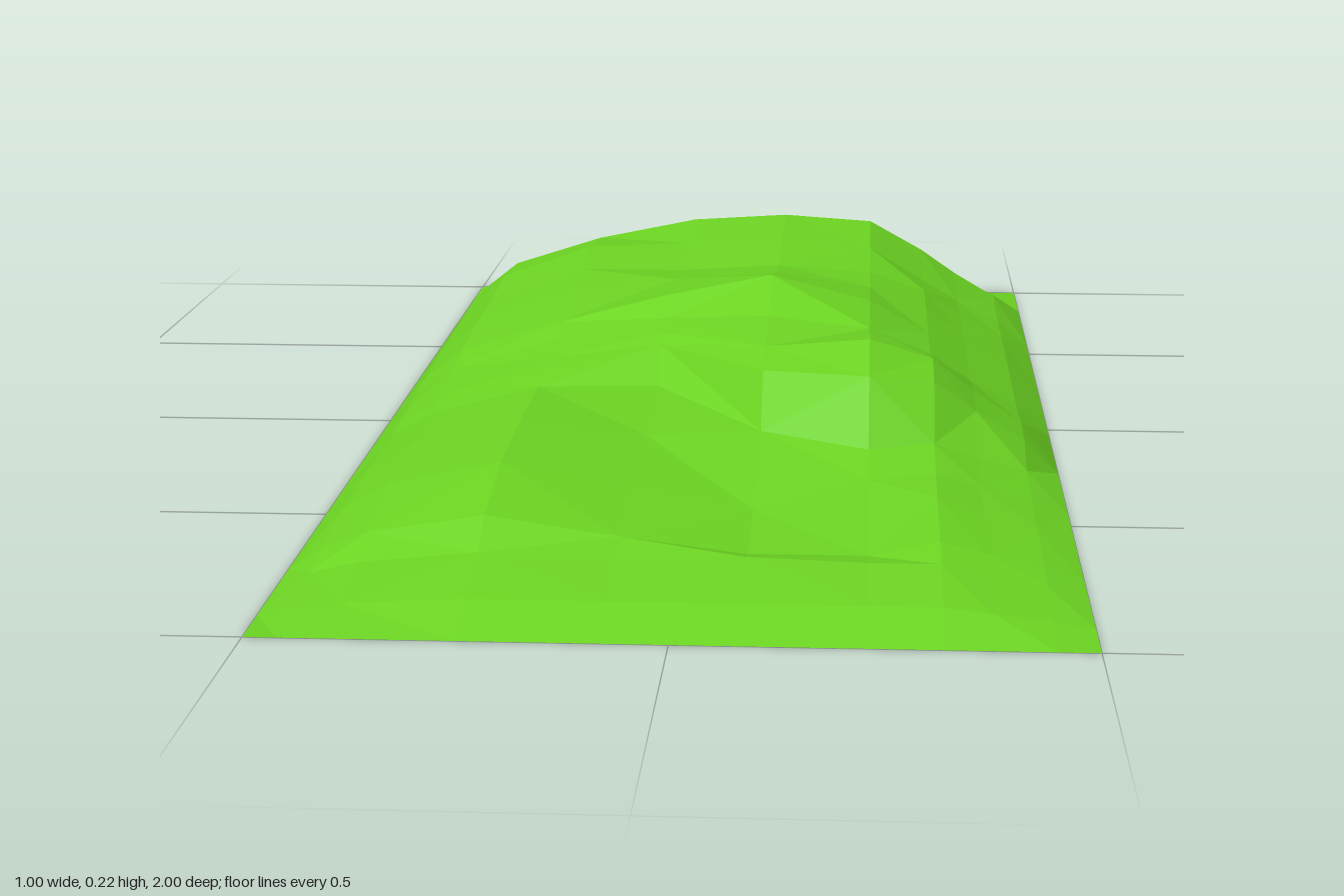
import * as THREE from 'three';

// Height at five inner columns; the flanks fall away from the outermost two
const INNER_X = [-0.25, -0.08, 0.08, 0.23, 0.32];
const flankedSection = ([left, ...rest]) => {
  const right = rest[rest.length - 1];
  return [0, left * 0.34, left * 0.67, left, ...rest, right * 0.68, right * 0.36, 0];
};
const COLUMNS = [-0.5, -0.46, -0.4, ...INNER_X, 0.38, 0.45, 0.5];

// The cliff's rim runs diagonally forward, then turns back along the right flank
const rimZ = (x) => {
  if (x < -0.08) return 0.07 - (x + 0.08) * 0.19;
  if (x < 0.08) return 0.16 + x * 1.19;
  if (x < 0.23) return 0.26 + (x - 0.08) * 0.6;
  return 0.35 - (x - 0.23) * 0.4;
};
const FOOT = 0.07; // how far the cliff's foot lies in front of its rim

const straight = (z) => () => z;
const behindRim = (t) => (x) => THREE.MathUtils.lerp(-0.08, rimZ(x), t);
const beforeRim = (t) => (x) => THREE.MathUtils.lerp(rimZ(x) + FOOT, 0.58, t);

// Cross-sections from back to front: z rule, then inner heights
const SECTIONS = [
  [straight(-1), 0, 0, 0, 0, 0],
  [straight(-0.93), 0.04, 0.04, 0.04, 0.04, 0.03],
  [straight(-0.84), 0.11, 0.13, 0.135, 0.13, 0.09],
  [straight(-0.75), 0.145, 0.18, 0.19, 0.18, 0.13],
  [straight(-0.58), 0.163, 0.17, 0.18, 0.165, 0.11],
  [straight(-0.42), 0.155, 0.155, 0.165, 0.155, 0.125],
  [straight(-0.25), 0.15, 0.175, 0.187, 0.165, 0.13],
  [straight(-0.08), 0.14, 0.185, 0.218, 0.18, 0.13],
  [behindRim(0.35), 0.125, 0.16, 0.18, 0.17, 0.13],
  [behindRim(0.75), 0.115, 0.15, 0.165, 0.193, 0.16],
  [behindRim(1), 0.11, 0.14, 0.15, 0.165, 0.15],
  [beforeRim(0), 0.1, 0.095, 0.08, 0.08, 0.08],
  [beforeRim(0.5), 0.104, 0.08, 0.06, 0.06, 0.065],
  [straight(0.58), 0.1, 0.065, 0.04, 0.05, 0.06],
  [straight(0.74), 0.075, 0.05, 0.03, 0.03, 0.05],
  [straight(0.8), 0.045, 0.04, 0.045, 0.04, 0.04],
  [straight(0.92), 0.025, 0.025, 0.025, 0.025, 0.025],
  [straight(1), 0, 0, 0, 0, 0],
];

function terrainGeometry() {
  const n = COLUMNS.length;
  const positions = [];
  const indices = [];
  SECTIONS.forEach(([zRule, ...inner], j) => {
    const heights = flankedSection(inner);
    COLUMNS.forEach((x, i) => {
      positions.push(x, heights[i], zRule(x));
      if (j === 0 || i === 0) return;
      const d = j * n + i;
      const c = d - 1;
      const b = d - n;
      const a = b - 1;
      // alternate the diagonals for an irregular faceted look
      if ((i + j) % 2) indices.push(a, c, b, b, c, d);
      else indices.push(a, c, d, a, d, b);
    });
  });
  const geometry = new THREE.BufferGeometry();
  geometry.setAttribute('position', new THREE.Float32BufferAttribute(positions, 3));
  geometry.setIndex(indices);
  const faceted = geometry.toNonIndexed();
  faceted.computeVertexNormals();
  return faceted;
}

export function createModel() {
  const group = new THREE.Group();
  group.name = 'grassyHill';
  const grass = new THREE.MeshStandardMaterial({ color: 0x6cd422, flatShading: true });

  // Faceted hill with cliff and hollow
  const hill = new THREE.Mesh(terrainGeometry(), grass);
  hill.name = 'hillSurface';

  // Flat underside
  const underside = new THREE.Mesh(new THREE.PlaneGeometry(1, 2).rotateX(Math.PI / 2), grass);
  underside.name = 'underside';

  group.add(hill, underside);
  return group;
}
